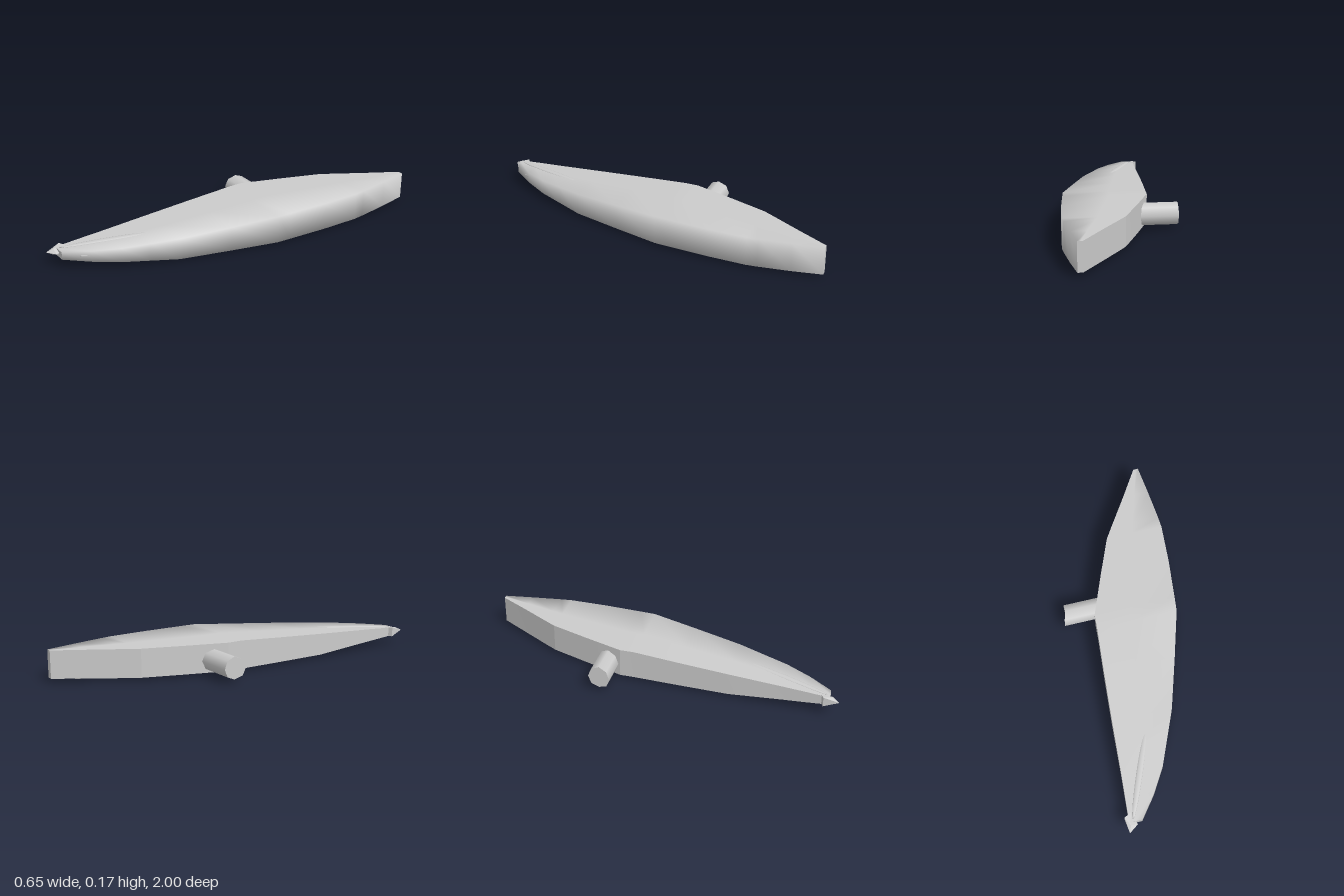
import * as THREE from 'three';
import { ConvexGeometry } from 'three/addons/geometries/ConvexGeometry.js';

const material = new THREE.MeshStandardMaterial({ color: 0xcccccc });

// Hull stations from tail to nose: z, left x, right x, bottom y, top y
const STATIONS = [
  [-1, 0.258, 0.285, 0.02, 0.17],
  [-0.84, 0.158, 0.304, 0.016, 0.17],
  [-0.67, 0.048, 0.321, 0.015, 0.17],
  [-0.61, 0.01, 0.325, 0.015, 0.17],
  [-0.4, -0.075, 0.312, 0.015, 0.17],
  [-0.18, -0.16, 0.289, 0.015, 0.17],
  [-0.1, -0.164, 0.28, 0.015, 0.17],
  [0.15, -0.185, 0.205, 0.015, 0.153],
  [0.42, -0.205, 0.12, 0.015, 0.135],
  [0.56, -0.214, 0.06, 0.026, 0.126],
  [0.7, -0.223, 0, 0.037, 0.117],
  [0.83, -0.233, -0.08, 0.047, 0.109],
  [0.95, -0.242, -0.172, 0.057, 0.1],
];

// Joins rings of points; later rings lie further toward +z
function loft(rings) {
  const n = rings[0].length;
  const index = [];
  for (let i = 0; i < rings.length - 1; i++) {
    for (let j = 0; j < n - 1; j++) {
      const a = i * n + j, b = a + 1, c = a + n, d = c + 1;
      index.push(a, c, b, b, c, d);
    }
  }
  const geometry = new THREE.BufferGeometry();
  geometry.setAttribute('position', new THREE.Float32BufferAttribute(rings.flat(2), 3));
  geometry.setIndex(index);
  geometry.computeVertexNormals();
  return geometry;
}

function add(parent, name, geometry) {
  const mesh = new THREE.Mesh(geometry, material);
  mesh.name = name;
  parent.add(mesh);
  return mesh;
}

// Slim pointed swelling lying between two points
function addRidge(parent, name, from, to, width, height) {
  const a = new THREE.Vector3(...from), b = new THREE.Vector3(...to);
  const mesh = add(parent, name, new THREE.SphereGeometry(1, 12, 8).rotateX(Math.PI / 2));
  mesh.scale.set(width, height, a.distanceTo(b) / 2);
  mesh.position.copy(a).add(b).multiplyScalar(0.5);
  mesh.lookAt(b);
}

export function createModel() {
  const model = new THREE.Group();
  model.name = 'curvedHull';

  // Top, curved side and underside share smooth normals
  add(model, 'hullShell', loft(STATIONS.map(([z, l, r, b, t]) => {
    const m = l + (r - l) * 0.45;
    return [[l, t, z], [m, t, z], [r, t, z], [r, b, z], [m, b, z], [l, b, z]];
  })));

  // Left wall in three runs with crisp corners between them
  [['tailWall', 0, 4], ['flatWall', 3, 6], ['frontWall', 5, 13]].forEach(([name, start, end]) => {
    add(model, name, loft(STATIONS.slice(start, end).map(([z, l, , b, t]) => [[l, b, z], [l, t, z]])));
  });

  // End faces of the hull
  [['tailFace', STATIONS[0], Math.PI], ['noseFace', STATIONS.at(-1), 0]].forEach(([name, s, turn]) => {
    const [z, l, r, b, t] = s;
    const face = add(model, name, new THREE.PlaneGeometry(r - l, t - b));
    face.position.set((l + r) / 2, (b + t) / 2, z);
    face.rotation.y = turn;
  });

  // Pointed, notched tip
  const tip = new ConvexGeometry([
    [-0.26, 0.054, 0.92], [-0.26, 0.106, 0.92], [-0.22, 0.104, 0.9], [-0.22, 0.056, 0.9],
    [-0.236, 0.098, 0.965], [-0.236, 0.062, 0.965], [-0.25, 0.08, 1], [-0.2, 0.08, 0.965],
  ].map((p) => new THREE.Vector3(...p)));
  add(model, 'noseTip', tip);

  // Stub on the right side with a slanted end
  const stub = new THREE.CylinderGeometry(0.061, 0.061, 0.29, 8);
  stub.rotateZ(Math.PI / 2).translate(-0.165, 0.08, -0.252);
  const p = stub.attributes.position;
  for (let i = 0; i < p.count; i++) {
    if (p.getX(i) < -0.3) p.setX(i, -0.31 - 0.018 * Math.max(0, (p.getZ(i) + 0.252) / 0.061));
  }
  add(model, 'sideStub', stub);

  // Slim swellings on the top, side and underside
  addRidge(model, 'topRidge', [-0.04, 0.127, 0.49], [-0.22, 0.102, 0.94], 0.018, 0.007);
  addRidge(model, 'sideRidge', [0.05, 0.08, 0.57], [-0.12, 0.08, 0.88], 0.014, 0.009);
  addRidge(model, 'undersideSwelling', [0.11, 0.016, -0.05], [0.22, 0.012, -0.9], 0.04, 0.014);

  return model;
}
